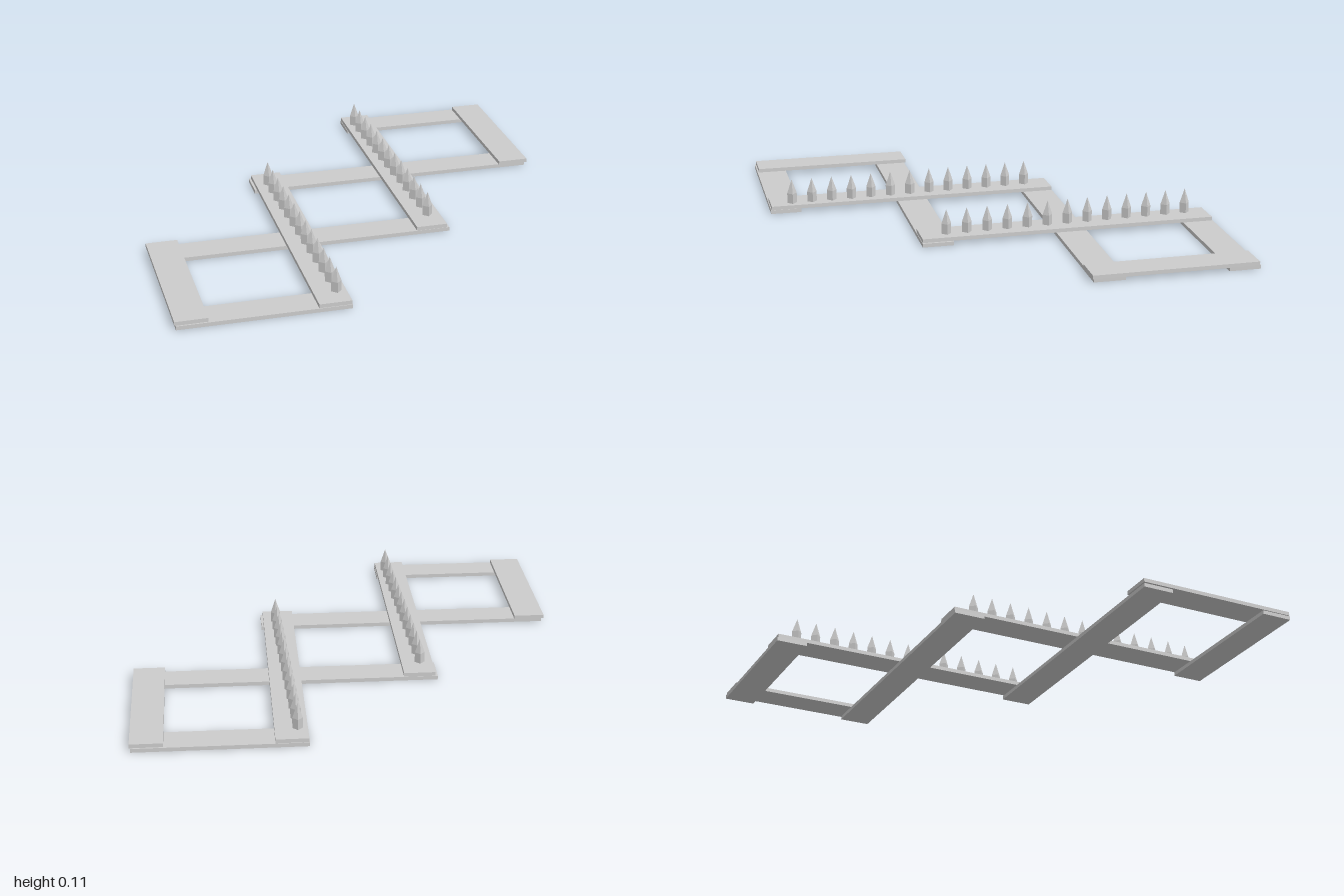
import * as THREE from 'three';

export function createModel() {
  const group = new THREE.Group();
  const mat = new THREE.MeshStandardMaterial({ color: 0xcccccc, flatShading: true });
  const T = 0.0125, W = 0.102, LONG = 0.977, SHORT = 0.537;
  const UPPER = THREE.MathUtils.degToRad(-47.1), LOWER = THREE.MathUtils.degToRad(42.7);

  // One flat slat of the folding lattice; layer 0 lies on the ground, layer 1 on top
  function slat(name, length, x, z, layer) {
    const mesh = new THREE.Mesh(new THREE.BoxGeometry(length, T, W), mat);
    mesh.name = name;
    mesh.position.set(x, T * (layer + 0.5), z);
    mesh.rotation.y = layer ? UPPER : LOWER;
    group.add(mesh);
  }

  // Square spike with a straight shank and a pyramid point
  const r = 0.0115 * Math.SQRT2;
  const profile = [[0, 0], [r, 0], [r, 0.034], [0, 0.082]].map(p => new THREE.Vector2(...p));
  const spikeGeo = new THREE.LatheGeometry(profile, 4, Math.PI / 4);

  function spikeRow(name, x, z) {
    const row = new THREE.Group();
    row.name = name;
    for (let i = -6; i <= 6; i++) {
      const spike = new THREE.Mesh(spikeGeo, mat);
      spike.name = 'spike';
      spike.position.set(x + i * 0.0482, 2 * T, z + i * 0.0483);
      row.add(spike);
    }
    group.add(row);
  }

  // The lattice repeats under a half turn about the vertical axis
  for (const [end, s] of [['front', 1], ['back', -1]]) {
    slat(end + 'LongUpperSlat', LONG, -0.013 * s, 0.307 * s, 1);
    slat(end + 'ShortUpperSlat', SHORT, -0.186 * s, 0.763 * s, 1);
    slat(end + 'LongLowerSlat', LONG, -0.004 * s, 0.306 * s, 0);
    slat(end + 'ShortLowerSlat', SHORT, 0.128 * s, 0.776 * s, 0);
    spikeRow(end + 'SpikeRow', -0.005 * s, 0.308 * s);
  }
  return group;
}
